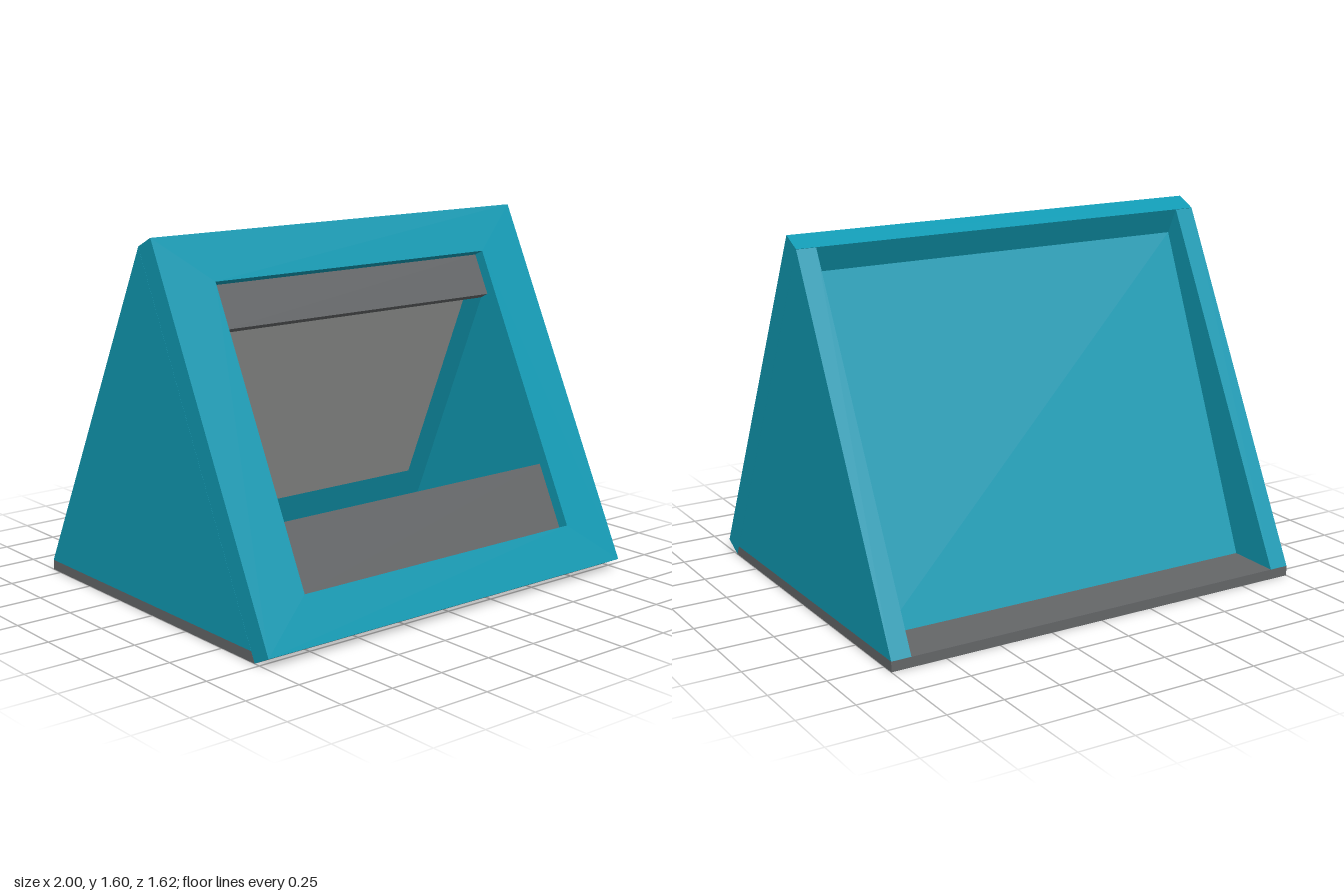
import * as THREE from 'three';

const material = (color, rough = 0.8) => new THREE.MeshStandardMaterial({ color, roughness: rough });

export function createModel() {
  const group = new THREE.Group();
  const teal = new THREE.MeshStandardMaterial({ color: 0x1099b2 });
  const darkGrey = new THREE.MeshStandardMaterial({ color: 0x646668 });
  const lightGrey = new THREE.MeshStandardMaterial({ color: 0x9a9c9a });

  // Extrudes a [z, y] cross-section between two x positions
  function prism(name, section, x0, x1, mat) {
    const shape = new THREE.Shape(section.map(([z, y]) => new THREE.Vector2(z, y)));
    const geo = new THREE.ExtrudeGeometry(shape, { depth: x1 - x0, bevelEnabled: false });
    geo.rotateY(-Math.PI / 2);
    geo.translate(x1, 0, 0);
    const mesh = new THREE.Mesh(geo, mat);
    mesh.name = name;
    group.add(mesh);
  }

  // Base plate, cut at the front to meet the sloping panel
  prism('base', [[-0.81, 0], [0.72, 0], [0.698, 0.045], [-0.81, 0.045]], -1, 1, darkGrey);

  // Triangular side walls
  const side = [[-0.81, 0.045], [0.698, 0.045], [-0.04, 1.555]];
  prism('rightWall', side, -1, -0.91, teal);
  prism('leftWall', side, 0.91, 1, teal);

  // Recessed back panel leaning against the front panel, with a sheet inside it
  prism('backPanel', [[-0.565, 0.045], [-0.485, 0.045], [0.058, 1.354], [0.015, 1.442]], -0.91, 0.91, teal);
  const innerZ = (y) => -0.485 + 0.415 * (y - 0.045);
  prism('screen', [
    [innerZ(0.27), 0.27], [innerZ(0.27) + 0.05, 0.27],
    [innerZ(1.24) + 0.05, 1.24], [innerZ(1.24), 1.24],
  ], -0.69, 0.74, lightGrey);

  // Sloping block behind the lower strip
  prism('innerBlock', [[-0.256, 0.045], [0.69, 0.045], [0.525, 0.41], [-0.256, 0.122]], -0.6, 0.57, darkGrey);

  // Sloping front: local y runs up the slope, local z points outward
  const front = new THREE.Group();
  front.name = 'front';
  front.position.set(0, 0.045, 0.81);
  front.rotation.x = -Math.atan2(0.76, 1.555);
  group.add(front);

  const rect = (P, x, y0, y1) => {
    const p = new P();
    p.moveTo(-x, y0);
    p.lineTo(x, y0);
    p.lineTo(x, y1);
    p.lineTo(-x, y1);
    p.closePath();
    return p;
  };
  const frameShape = rect(THREE.Shape, 1, 0, 1.731);
  frameShape.holes.push(rect(THREE.Path, 0.75, 0.206, 1.52));
  const frameGeo = new THREE.ExtrudeGeometry(frameShape, { depth: 0.1, bevelEnabled: false });
  frameGeo.translate(0, 0, -0.1);
  const frame = new THREE.Mesh(frameGeo, teal);
  frame.name = 'frontFrame';
  front.add(frame);

  // Strips set back in the window opening
  for (const [name, y0, y1] of [['lowerStrip', 0.206, 0.509], ['upperStrip', 1.327, 1.52]]) {
    const strip = new THREE.Mesh(new THREE.BoxGeometry(1.5, y1 - y0, 0.05), darkGrey);
    strip.name = name;
    strip.position.set(0, (y0 + y1) / 2, -0.075);
    front.add(strip);
  }
  return group;
}
